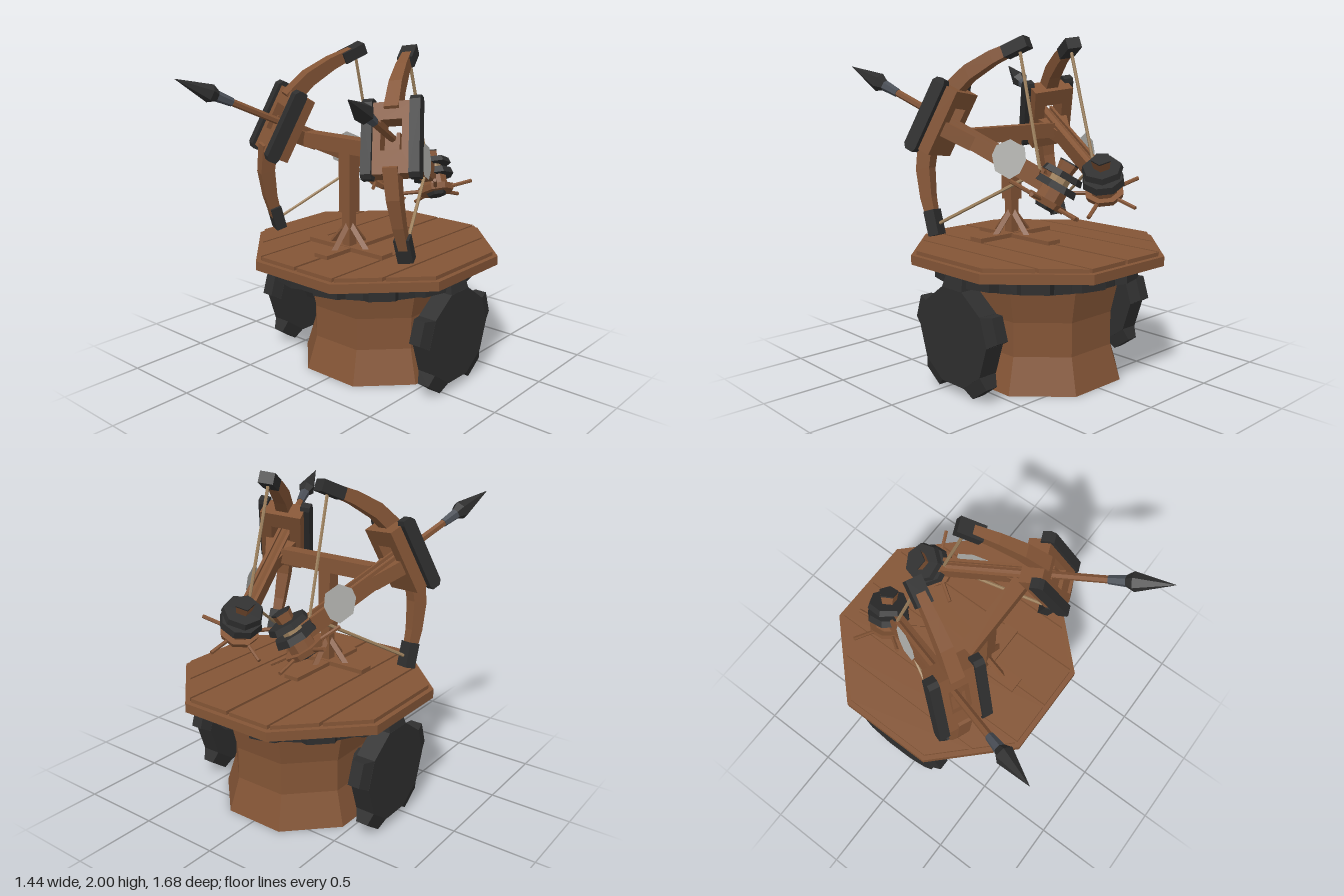
import * as THREE from 'three';
import { mergeGeometries } from 'three/addons/utils/BufferGeometryUtils.js';
import { ConvexGeometry } from 'three/addons/geometries/ConvexGeometry.js';

const V = (x, y, z) => new THREE.Vector3(x, y, z);
const points2 = list => list.map(p => new THREE.Vector2(...p));
const material = (name, color, side = THREE.FrontSide) => {
  const m = new THREE.MeshStandardMaterial({ color, flatShading: true, side });
  m.name = name;
  return m;
};
const wood = material('wood', 0x845536, THREE.DoubleSide);
const iron = material('dark iron', 0x2e2e2e);
const steel = material('grey steel', 0x4b5058);
const rope = material('rope', 0xa0835f);
const feather = material('feather', 0xb4b4b0, THREE.DoubleSide);

function add(parent, name, geometry, mat, x = 0, y = 0, z = 0) {
  const mesh = new THREE.Mesh(geometry, mat);
  mesh.name = name;
  mesh.position.set(x, y, z);
  parent.add(mesh);
  return mesh;
}
// box given by its minimum and maximum corners
function box(parent, name, mat, a, b) {
  const size = a.map((v, i) => b[i] - v), mid = a.map((v, i) => (b[i] + v) / 2);
  return add(parent, name, new THREE.BoxGeometry(...size), mat, ...mid);
}
// straight bar between two points
function rod(parent, name, mat, a, b, r, sides = 6) {
  const mid = a.clone().add(b).multiplyScalar(0.5);
  const mesh = add(parent, name, new THREE.CylinderGeometry(r, r, a.distanceTo(b), sides), mat, mid.x, mid.y, mid.z);
  mesh.quaternion.setFromUnitVectors(V(0, 1, 0), b.clone().sub(a).normalize());
  return mesh;
}
// upright cylinder between two heights
const drum = (parent, name, mat, rTop, rLow, y0, y1, sides) =>
  add(parent, name, new THREE.CylinderGeometry(rTop, rLow, y1 - y0, sides), mat, 0, (y0 + y1) / 2, 0);

// toothed wheel around the y axis with tapering teeth
function gearGeometry(n, rBase, rTip, aBase, aTip, hBase, hTip) {
  const ring = (angle, spread, r, h) => [-1, 1].flatMap(s => [-h, h].map(y =>
    V(r * Math.cos(angle + s * spread), y, r * Math.sin(angle + s * spread))));
  const body = [], teeth = [];
  for (let k = 0; k < n; k++) {
    const angle = (k * 2 * Math.PI) / n;
    body.push(...ring(angle, aBase, rBase, hBase));
    teeth.push(new ConvexGeometry([
      ...ring(angle, aBase, rBase * 0.99, hBase * 0.99), ...ring(angle, aTip, rTip, hTip)]));
  }
  return mergeGeometries([new ConvexGeometry(body), ...teeth]);
}

function buildBase(model) {
  // waisted tower, open underneath
  const profile = points2([[0.495, 0], [0.43, 0.21], [0.43, 0.41], [0.48, 0.63]]);
  add(model, 'tower', new THREE.LatheGeometry(profile, 8, Math.PI / 8), wood, 0, 0, -0.165);

  // turning gear, side gears and axle
  add(model, 'turntableGear', gearGeometry(12, 0.58, 0.637, 0.18, 0.12, 0.045, 0.03), iron, 0, 0.655, -0.11)
    .rotation.y = Math.PI / 12;
  for (const side of [-1, 1]) {
    add(model, 'sideGear', gearGeometry(5, 0.29, 0.358, 0.3, 0.2, 0.06, 0.038), iron, side * 0.605, 0.335, -0.115)
      .rotation.z = Math.PI / 2;
  }
  rod(model, 'axle', iron, V(-0.6, 0.335, -0.115), V(0.6, 0.335, -0.115), 0.068, 8);

  // octagonal deck with planks
  add(model, 'deck', new THREE.CylinderGeometry(0.779, 0.779, 0.055, 8), wood, 0, 0.7375, -0.12).rotation.y = Math.PI / 8;
  const reach = x => Math.min(0.69, 0.978 - Math.abs(x));
  for (const [x0, x1] of [[-0.69, -0.495], [-0.48, -0.295], [-0.28, -0.01], [0.01, 0.28], [0.295, 0.48], [0.495, 0.69]]) {
    const corners = [[x0, reach(x0)], [x0, -reach(x0)], [x1, -reach(x1)], [x1, reach(x1)]];
    add(model, 'plank', new ConvexGeometry(corners.flatMap(([x, z]) => [V(x, 0, z), V(x, 0.024, z)])), wood, 0, 0.764, -0.12);
  }
}

function buildStand(model) {
  box(model, 'footLong', wood, [-0.05, 0.785, -0.26], [0.05, 0.812, 0.36]);
  box(model, 'footCross', wood, [-0.29, 0.785, 0.06], [0.295, 0.815, 0.155]);
  box(model, 'postFoot', wood, [-0.03, 0.8, 0.08], [0.03, 1.03, 0.14]);
  box(model, 'post', wood, [-0.043, 1.02, 0.067], [0.043, 1.4, 0.153]);
  box(model, 'crossbar', wood, [-0.33, 1.38, 0.062], [0.33, 1.47, 0.155]);
  for (const [dx, dz] of [[1, 0], [-1, 0], [0, 1], [0, -1]]) {
    rod(model, 'strut', wood, V(dx * 0.14, 0.8, 0.11 + dz * 0.14), V(dx * 0.015, 0.94, 0.11 + dz * 0.015), 0.022, 4);
  }
}

// winch in its own frame: y is the turning axis
function buildWinch() {
  const winch = new THREE.Group();
  winch.name = 'winch';
  drum(winch, 'winchBlock', wood, 0.08, 0.08, -0.1, -0.03, 8);
  drum(winch, 'lowerDisc', iron, 0.12, 0.13, -0.03, 0.01, 8);
  drum(winch, 'ropeSpool', rope, 0.06, 0.06, 0.01, 0.045, 8);
  drum(winch, 'upperDisc', iron, 0.115, 0.125, 0.045, 0.08, 7);
  drum(winch, 'knob', wood, 0.06, 0.05, 0.08, 0.133, 5);
  drum(winch, 'knobCap', iron, 0.06, 0.06, 0.133, 0.141, 5);

  // spoked hand wheel below
  drum(winch, 'handWheel', wood, 0.12, 0.11, -0.13, -0.095, 8);
  drum(winch, 'handWheelHub', iron, 0.065, 0.055, -0.15, -0.13, 6);
  for (let k = 0; k < 5; k++) {
    const a = 0.08 + (k * 2 * Math.PI) / 5, c = Math.cos(a), s = Math.sin(a);
    rod(winch, 'wheelSpoke', wood, V(0.05 * c, -0.112, 0.05 * s), V(0.235 * c, -0.112, 0.235 * s), 0.012);
  }
  return winch;
}

// crossbow in its own frame: +z along the bolt, +y along the upper limb
function buildCrossbow() {
  const bow = new THREE.Group();

  // housing with a slot for the bolt, and straps on its front corners
  const frame = new THREE.Shape(points2([[-0.13, -0.2], [0.13, -0.2], [0.13, 0.2], [-0.13, 0.2]]));
  frame.holes.push(new THREE.Path(points2([[-0.06, -0.07], [-0.06, 0.1], [0.06, 0.1], [0.06, -0.07]])));
  add(bow, 'housing', new THREE.ExtrudeGeometry(frame, { depth: 0.135, bevelEnabled: false }), wood, 0, 0, -0.08);
  for (const s of [-1, 1]) {
    const pts = [];
    for (const [y, z0, z1] of [[0.225, 0.005, 0.055], [0.2, -0.005, 0.075], [-0.2, -0.005, 0.075], [-0.225, 0.005, 0.055]])
      for (const x of [0.105, 0.165]) pts.push(V(s * x, y, z0), V(s * x, y, z1));
    add(bow, 'housingStrap', new ConvexGeometry(pts), iron);
  }

  // stock, flared where it meets the housing, and rails
  box(bow, 'stock', wood, [-0.042, -0.07, -0.75], [0.042, 0.01, 0.03]);
  const flare = [[0.1, -0.075], [0.065, -0.16], [0.042, -0.26]].flatMap(([x, z]) =>
    [-x, x].flatMap(e => [V(e, -0.075, z), V(e, 0.01, z)]));
  add(bow, 'stockFlare', new ConvexGeometry(flare), wood);
  for (const s of [-1, 1]) box(bow, 'rail', wood, [s * 0.033 - 0.009, 0.01, -0.7], [s * 0.033 + 0.009, 0.03, 0.03]);

  // limbs, caps and strings, mirrored above and below
  const path = [[0.14, 0.03, 0.05], [0.31, -0.035, 0.045], [0.45, -0.13, 0.038], [0.56, -0.228, 0.031]];
  for (const s of [1, -1]) {
    const limb = new THREE.Group();
    limb.name = s > 0 ? 'upperLimb' : 'lowerLimb';
    limb.scale.y = s;
    bow.add(limb);
    const section = ([y, z, r]) => [-1, 1].flatMap(x => [-1, 1].map(e => V(x * r * 0.85, y + e * r * 0.6, z + e * r * 0.8)));
    for (let i = 0; i < 3; i++)
      add(limb, 'limbSegment', new ConvexGeometry([...section(path[i]), ...section(path[i + 1])]), wood);
    add(limb, 'limbCap', new THREE.BoxGeometry(0.09, 0.15, 0.068), iron, 0, 0.562, -0.235).rotation.x = -0.72;
    rod(limb, 'string', rope, V(0, 0.55, -0.265), V(0, s * 0.02, -0.685), 0.01);
  }

  // bolt
  rod(bow, 'boltShaft', wood, V(0, 0, -0.68), V(0, 0, 0.4), 0.022);
  const head = points2([[0.03, 0.44], [0.056, 0.49], [0.001, 0.715]]);
  add(bow, 'boltHead', new THREE.LatheGeometry(head, 6), iron).rotation.x = Math.PI / 2;
  add(bow, 'boltCollar', new THREE.CylinderGeometry(0.034, 0.026, 0.11, 6), steel, 0, 0, 0.4).rotation.x = Math.PI / 2;
  const fletch = new THREE.Shape(points2([[0.6, 0.04], [0.56, 0.1], [0.46, 0.1], [0.4, 0.03], [0.4, -0.03],
    [0.46, -0.1], [0.56, -0.1], [0.6, -0.04]]));
  add(bow, 'fletching', new THREE.ShapeGeometry(fletch), feather, 0.046, 0, 0).rotation.y = Math.PI / 2;

  // winch at the tail, leaning inward
  const winch = buildWinch();
  winch.position.set(0.002, 0, -0.81);
  winch.rotation.z = 0.2;
  bow.add(winch);

  // aim outward and up, rolled slightly inward
  const aim = V(0.3, 0.415, 0.85).normalize();
  const side = V(-0.267, 0.897, -0.353).cross(aim).normalize();
  const up = aim.clone().cross(side);
  bow.quaternion.setFromRotationMatrix(new THREE.Matrix4().makeBasis(side, up, aim));
  bow.position.set(0.435, 1.525, 0.23);
  return bow;
}

export function createModel() {
  const model = new THREE.Group();
  model.name = 'twinCrossbowTower';
  buildBase(model);
  buildStand(model);
  for (const s of [1, -1]) {
    const half = new THREE.Group();
    half.name = s > 0 ? 'leftCrossbow' : 'rightCrossbow';
    half.scale.x = s;
    half.add(buildCrossbow());
    model.add(half);
  }
  return model;
}
